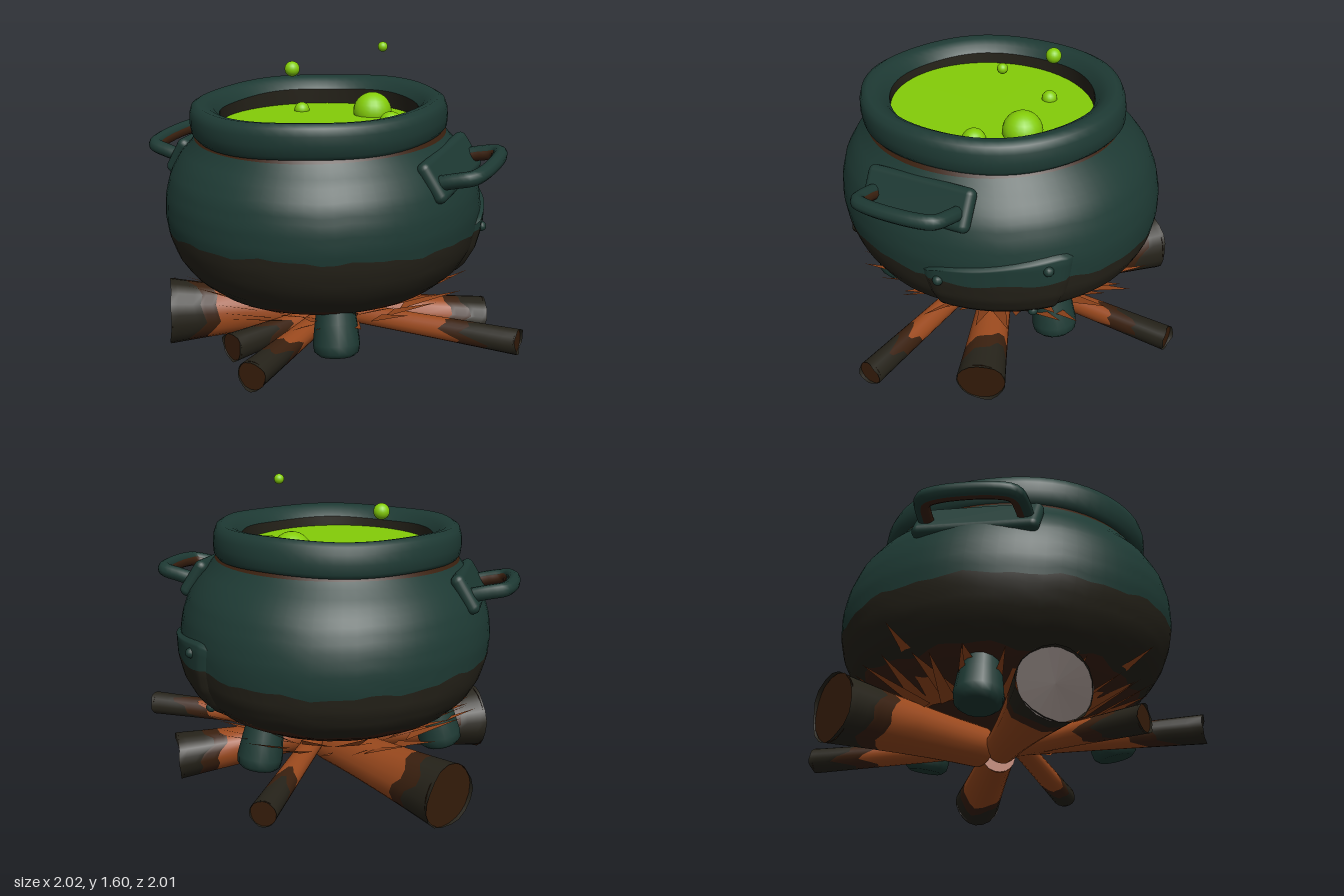
import * as THREE from 'three';
import { RoundedBoxGeometry } from 'three/addons/geometries/RoundedBoxGeometry.js';

const mat = (name, color) => {
  const m = new THREE.MeshStandardMaterial({ color, side: THREE.DoubleSide });
  m.name = name;
  return m;
};

// Seeded random numbers
let seed = 7;
const rand = () => ((seed = (seed * 16807) % 2147483647) / 2147483647);

// Surface closed around u (or open), with position fn(u, v)
function grid(nu, nv, closed, fn) {
  const cols = closed ? nu : nu + 1, pos = [], idx = [];
  for (let j = 0; j <= nv; j++)
    for (let i = 0; i < cols; i++) pos.push(...fn(i / nu, j / nv));
  for (let j = 0; j < nv; j++)
    for (let i = 0; i < nu; i++) {
      const k = (i + 1) % cols, a = j * cols + i, b = j * cols + k, c = a + cols, d = b + cols;
      idx.push(a, b, c, b, d, c);
    }
  const g = new THREE.BufferGeometry();
  g.setAttribute('position', new THREE.Float32BufferAttribute(pos, 3));
  g.setIndex(idx);
  g.computeVertexNormals();
  return g;
}

// Oval, slightly forward-tilted pot space: radius factor, angle from the front, height
const CX = -0.08, RX = 0.8, RZ = 0.835;
function place(r, a, y) {
  const dz = RZ * r * Math.cos(a);
  return [CX + RX * r * Math.sin(a), y - 0.035 * dz, 0.05 + 0.1 * (y - 0.8) + dz];
}

// Pot wall: [radius factor, height]
const wall = [[0, 0.32], [0.4, 0.335], [0.64, 0.375], [0.78, 0.43], [0.89, 0.51], [0.955, 0.6], [0.99, 0.7],
  [1, 0.8], [0.985, 0.9], [0.945, 1.0], [0.88, 1.08], [0.81, 1.14], [0.765, 1.19]];
function wallRadius(y) {
  const i = Math.max(1, wall.findIndex((p) => p[1] >= y));
  const [r0, y0] = wall[i - 1], [r1, y1] = wall[i];
  return r0 + (r1 - r0) * (y - y0) / (y1 - y0);
}

export function createModel() {
  const root = new THREE.Group();
  const iron = mat('iron', 0x1e3a34), soot = mat('soot', 0x26231a), char = mat('charred brown', 0x3a200f);
  const wood = mat('wood', 0x9c4a1e), brew = mat('green brew', 0x84cd08), endGrain = mat('end grain', 0x351c0a);
  const add = (parent, name, geo, material, x = 0, y = 0, z = 0) => {
    const m = new THREE.Mesh(geo, material);
    m.name = name;
    m.position.set(x, y, z);
    parent.add(m);
    return m;
  };
  const TAU = Math.PI * 2;

  // Pot body in colour bands with a ragged soot line
  const sootLine = (a) => 0.72 + 0.035 * Math.cos(a) + 0.01 * Math.sin(3 * a + 1) + 0.008 * Math.sin(11 * a)
    + 0.006 * Math.sin(23 * a);
  const charLine = (a) => 0.45 + 0.012 * Math.sin(7 * a) + 0.008 * Math.sin(17 * a);
  const band = (name, lo, hi, n, material) => add(root, name, grid(72, n, true, (u, v) => {
    const a = u * TAU, y = lo(a) + (hi(a) - lo(a)) * v;
    return place(wallRadius(y), a, y);
  }), material);
  band('potBottom', () => 0.32, charLine, 10, char);
  band('potSootBand', charLine, sootLine, 8, soot);
  band('potBody', sootLine, () => 1.17, 14, iron);
  band('neckLine', () => 1.17, () => 1.19, 1, char);

  // Rolled rim and dark inner wall
  const ring = (name, pts, material) => add(root, name, grid(64, pts.length - 1, true, (u, v) => {
    const p = pts[Math.round(v * (pts.length - 1))], a = u * TAU;
    return place(p[0] * (1 - 0.03 * Math.sin(a) ** 2), a, p[1] + 0.004 * Math.sin(a * 5));
  }), material);
  ring('rim', [[0.765, 1.185], [0.79, 1.185], [0.81, 1.205], [0.816, 1.25], [0.812, 1.295], [0.797, 1.33],
    [0.76, 1.347], [0.71, 1.34], [0.665, 1.32], [0.63, 1.285]], iron);
  ring('innerWall', [[0.63, 1.285], [0.632, 1.25], [0.636, 1.18]], soot);

  // Brew and bubbles
  const brewDisc = add(root, 'brew', new THREE.CircleGeometry(1, 48), brew, CX, 1.22, 0.1);
  brewDisc.rotation.x = -Math.PI / 2;
  brewDisc.scale.set(0.492, 0.53, 1);
  for (const [x, y, z, r] of [[0.09, 1.235, -0.18, 0.1], [0.26, 1.215, -0.01, 0.06], [-0.29, 1.225, -0.12, 0.04],
    [-0.34, 1.44, -0.11, 0.04], [0.17, 1.58, -0.115, 0.025]])
    add(root, 'bubble', new THREE.SphereGeometry(r, 20, 14), brew, x, y, z);

  // Handles with mounting plates and a worn brown inner side
  for (const s of [1, -1]) {
    const handle = new THREE.Group();
    handle.name = s > 0 ? 'leftHandle' : 'rightHandle';
    handle.position.set(CX, 1.05, 0.08);
    handle.rotation.x = 0.08;
    root.add(handle);
    const plate = add(handle, 'handlePlate', new RoundedBoxGeometry(0.07, 0.21, 0.6, 3, 0.034), iron, s * 0.685, 0, 0);
    plate.rotation.z = s * 0.56;
    const loop = (inset, drop) => new THREE.CatmullRomCurve3([[0.66, -0.02, -0.235], [0.78, 0.01, -0.235],
      [0.86, 0.025, -0.215], [0.89, 0.03, -0.13], [0.89, 0.03, 0.13], [0.86, 0.025, 0.215], [0.78, 0.01, 0.235],
      [0.66, -0.02, 0.235]].map(([x, y, z]) => new THREE.Vector3(s * (x - inset), y - drop, z * (1 - inset * 4))));
    add(handle, 'handleLoop', new THREE.TubeGeometry(loop(0, 0), 40, 0.036, 10), iron);
    add(handle, 'handleInnerSide', new THREE.TubeGeometry(loop(0.012, 0.01), 40, 0.03, 10), char);
  }

  // Riveted repair patch following the wall
  const patch = (name, lo, hi, edges, material) => add(root, name, grid(20, 12, false, (u, v) => {
    const corner = Math.pow(Math.abs(2 * u - 1), 8) * 0.03;
    const y0 = lo(u) + (edges === 'low' ? corner : 0), y1 = hi(u) - (edges === 'high' ? corner : 0);
    const y = y0 + (y1 - y0) * v, a = 1.63 + u * (0.9 - 0.08 * (1 - (y - 0.45) / 0.4));
    const rim = u === 0 || u === 1 || (edges === 'low' ? v === 0 : v === 1);
    return place(wallRadius(y) + (rim ? -0.005 : 0.024), a, y);
  }), material);
  const patchSplit = (u) => 0.705 + 0.008 * Math.sin(u * 14);
  patch('patchLower', () => 0.44, patchSplit, 'low', soot);
  patch('patchUpper', patchSplit, (u) => 0.77 + 0.09 * u, 'high', iron);
  for (const [a, y] of [[1.73, 0.71], [2.36, 0.78], [2.28, 0.47]])
    add(root, 'rivet', new THREE.SphereGeometry(0.026, 12, 8), iron, ...place(wallRadius(y) + 0.022, a, y));

  // Three stubby legs
  for (let i = 0; i < 3; i++) {
    const leg = new THREE.Group();
    leg.name = 'leg';
    leg.position.set(CX, 0, 0.05);
    leg.rotation.y = 0.54 + i * TAU / 3;
    root.add(leg);
    const pts = [[0, 0], [0.085, 0], [0.108, 0.02], [0.114, 0.06], [0.102, 0.16], [0.085, 0.28]];
    const m = add(leg, 'legPost', new THREE.LatheGeometry(pts.map((p) => new THREE.Vector2(...p)), 16),
      iron, 0, 0.185, 0.575);
    m.rotation.x = -0.22;
  }

  // Logs: wood, a ragged charred stretch, a sooty tip and a cut end
  function log(name, from, to, r0, r1, burnt) {
    const A = new THREE.Vector3(...from), D = new THREE.Vector3(...to).sub(A), L = D.length();
    const g = new THREE.Group();
    g.name = name;
    g.position.copy(A);
    g.quaternion.setFromUnitVectors(new THREE.Vector3(0, 1, 0), D.normalize());
    root.add(g);
    const ph = rand() * 6, N = 18;
    const ragged = (base, amp) => (a) => base + amp * (Math.sin(2 * a + ph) + 0.5 * Math.sin(5 * a + ph));
    const radius = (y, a) => (r0 + (r1 - r0) * Math.pow(y / L, 1.4)) * (1 + 0.04 * Math.sin(3 * a + ph));
    const cuts = [() => 0, ragged(L - burnt, burnt * 0.15), ragged(L - burnt * 0.62, burnt * 0.2), ragged(L, 0.006)];
    [wood, char, soot].forEach((m, k) => add(g, ['logWood', 'logChar', 'logTip'][k], grid(N, 4, true, (u, v) => {
      const a = u * TAU, y = cuts[k](a) + (cuts[k + 1](a) - cuts[k](a)) * v, r = radius(y, a);
      return [r * Math.sin(a), y, r * Math.cos(a)];
    }), m));
    const cap = (y, up, m, r) => {
      add(g, 'logEnd', new THREE.CircleGeometry(r, N), m, 0, y, 0).rotation.x = up ? -Math.PI / 2 : Math.PI / 2;
    };
    cap(L - 0.012, true, endGrain, r1 * 0.99);
    cap(0, false, wood, r0);
  }
  log('thinLog', [0, 0.22, 0.1], [0.995, 0.23, 0.14], 0.05, 0.063, 0.34);
  log('thinLog', [-0.02, 0.22, 0], [0.015, 0.23, -0.995], 0.05, 0.063, 0.34);
  log('thinLog', [0, 0.22, 0], [0, 0.23, 0.99], 0.05, 0.07, 0.34);
  log('thinLog', [0.02, 0.22, 0.05], [-0.25, 0.22, 0.74], 0.05, 0.07, 0.3);
  log('thickLog', [-0.08, 0.2, -0.08], [-0.765, 0.2, -0.57], 0.1, 0.16, 0.24);
  log('thickLog', [-0.08, 0.19, 0.02], [-0.795, 0.205, 0.43], 0.08, 0.172, 0.22);
  log('thickLog', [0.08, 0.2, -0.03], [0.685, 0.13, -0.3], 0.085, 0.122, 0.22);

  // Kindling: broad shards flaring up just outside the pot's underside, a few of them long
  const shards = [];
  const count = 24;
  for (let i = 0; i < count; i++) {
    const a = (i + rand() * 0.6) * TAU / count, w = 0.15 + rand() * 0.08, lean = (rand() - 0.5) * 0.24;
    const long = i % 6 === 4, tip = long ? 1.0 : 0.82 + rand() * 0.07, top = long ? 0.55 : 0.425 + rand() * 0.04;
    shards.push(...place(0.5, a - w, 0.3), ...place(0.5, a + w, 0.3), ...place(tip, a + lean, top));
    // splayed splinter beside it
    const b = a + 0.13, out = 0.88 + rand() * 0.08;
    shards.push(...place(0.55, b - 0.09, 0.27), ...place(0.55, b + 0.07, 0.29), ...place(out, b - lean, 0.41));
  }
  const shardGeo = new THREE.BufferGeometry();
  shardGeo.setAttribute('position', new THREE.Float32BufferAttribute(shards, 3));
  shardGeo.computeVertexNormals();
  add(root, 'kindling', shardGeo, wood);

  return root;
}
